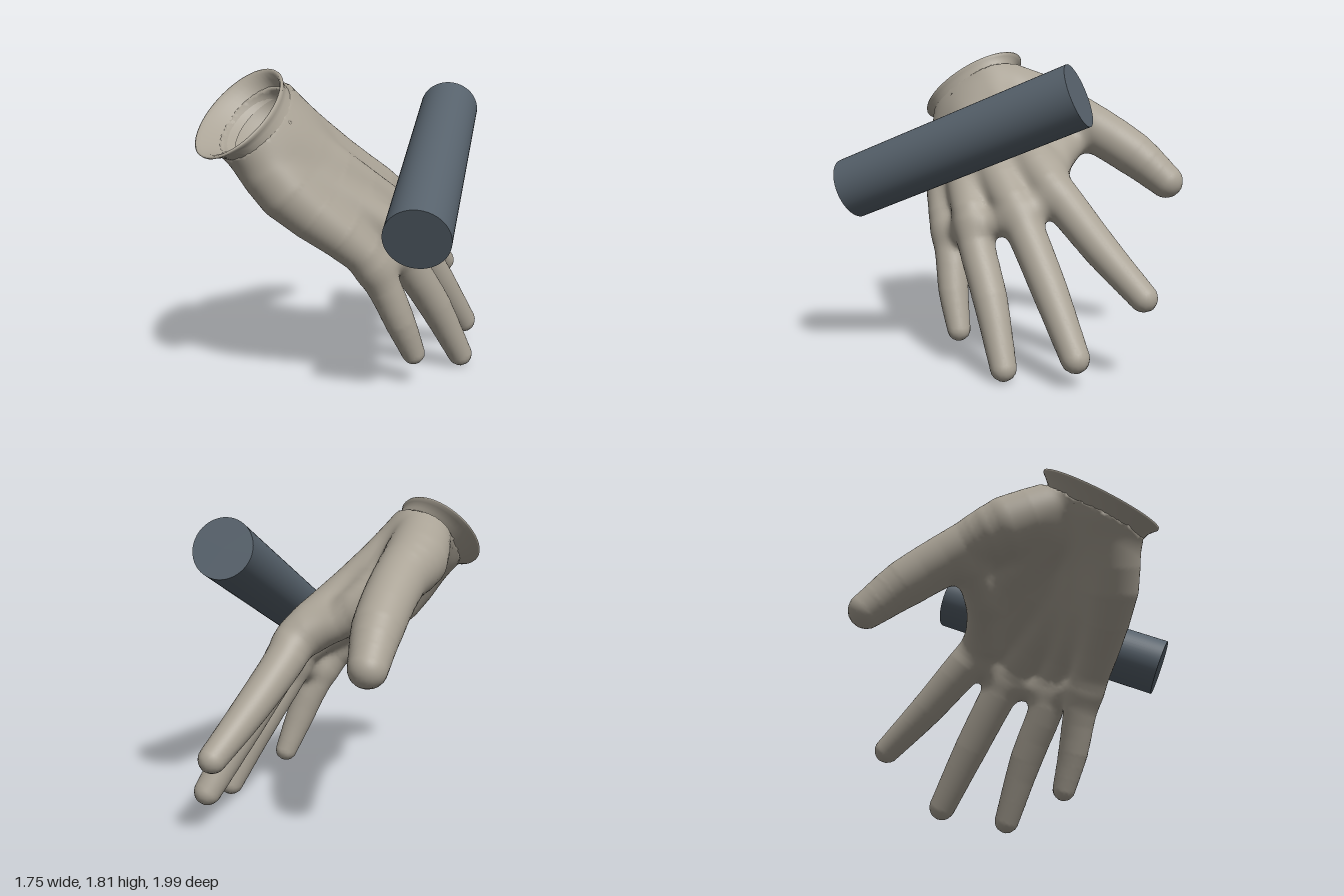
import * as THREE from 'three';

const V = (x, y, z) => new THREE.Vector3(x, y, z);

// Wrist opening: centre, rim centre, the two half axes of the rim ellipse, depth into the hand
const NECK = V(-0.315, 1.545, 0.645);
const RIM = V(-0.365, 1.59, 0.7);
const AXIS_A = V(-0.075, 0.215, -0.29);
const AXIS_B = V(0.255, 0.035, 0);
const DEPTH = V(0.24, -0.3, -0.32);
const toWrist = new THREE.Matrix4().makeBasis(AXIS_A, AXIS_B, DEPTH).setPosition(NECK).invert();

// A chain starts on the long axis of the wrist, then runs through points x, y, z, radius
const fromWrist = (offset, points) => {
  const p = NECK.clone().addScaledVector(AXIS_A, offset);
  return [[p.x, p.y, p.z, 0.168], ...points];
};
const thumb = fromWrist(0.35, [[-0.52, 1.47, 0.2, 0.182], [-0.575, 1.38, -0.03, 0.15],
  [-0.69, 1.18, -0.37, 0.135], [-0.775, 1.015, -0.56, 0.103]]);
const indexFinger = fromWrist(0.35, [[-0.16, 1.28, 0.12, 0.148], [-0.03, 1.03, -0.25, 0.122],
  [-0.045, 0.93, -0.36, 0.115], [-0.04, 0.7, -0.63, 0.1], [-0.035, 0.48, -0.92, 0.078]]);
const middleFinger = fromWrist(0, [[-0.05, 1.24, 0.3, 0.15], [0.13, 0.93, -0.12, 0.12],
  [0.15, 0.78, -0.24, 0.11], [0.2, 0.49, -0.46, 0.1], [0.26, 0.165, -0.695, 0.08]]);
const ringFinger = fromWrist(-0.14, [[-0.02, 1.15, 0.42, 0.145], [0.25, 0.87, 0.1, 0.112],
  [0.29, 0.7, 0.02, 0.105], [0.36, 0.42, -0.16, 0.098], [0.44, 0.075, -0.34, 0.074]]);
const littleFinger = fromWrist(-0.28, [[-0.1, 1.17, 0.625, 0.163], [0.2, 0.82, 0.36, 0.112],
  [0.27, 0.62, 0.25, 0.098], [0.33, 0.4, 0.17, 0.088], [0.37, 0.195, 0.085, 0.068]]);
const fingers = [indexFinger, middleFinger, ringFinger, littleFinger];

// Webs: thumb to index finger, thumb to palm, and across the finger roots
const thumbWeb = [[-0.52, 1.27, -0.04, 0.1], [-0.3, 1.16, -0.09, 0.1], [-0.1, 1.06, -0.2, 0.11]];
const palmFlesh = [[-0.36, 1.47, 0.38, 0.14], [-0.34, 1.32, 0.12, 0.13], [-0.3, 1.2, -0.04, 0.11]];
const fingerWeb = fingers.map(f => [0, 1, 2].map(i => (f[2][i] + f[3][i]) / 2).concat(0.07));

// Round the bends of a chain with a curve
function rounded(chain) {
  const curve = new THREE.CatmullRomCurve3(chain.map(p => V(p[0], p[1], p[2])));
  const last = chain.length - 1, parts = last * 3;
  return Array.from({ length: parts + 1 }, (_, i) => {
    const s = Math.min(Math.floor(i / 3), last - 1);
    const p = curve.getPoint(i / parts);
    return [p.x, p.y, p.z, THREE.MathUtils.lerp(chain[s][3], chain[s + 1][3], i / 3 - s)];
  });
}
const chains = [thumb, ...fingers, thumbWeb, palmFlesh, fingerWeb].map(rounded);

// Distance to one tapered bone chain
function chainDistance(chain, x, y, z) {
  let best = Infinity;
  for (let i = 0; i + 1 < chain.length; i++) {
    const a = chain[i], b = chain[i + 1];
    const dx = b[0] - a[0], dy = b[1] - a[1], dz = b[2] - a[2];
    const px = x - a[0], py = y - a[1], pz = z - a[2];
    const t = Math.min(1, Math.max(0, (px * dx + py * dy + pz * dz) / (dx * dx + dy * dy + dz * dz)));
    const qx = px - t * dx, qy = py - t * dy, qz = pz - t * dz;
    best = Math.min(best, Math.sqrt(qx * qx + qy * qy + qz * qz) - a[3] - t * (b[3] - a[3]));
  }
  return best;
}

function smoothMin(a, b, k) {
  const h = Math.max(k - Math.abs(a - b), 0) / k;
  return Math.min(a, b) - h * h * k * 0.25;
}

const probe = V(0, 0, 0);
function gloveDistance(x, y, z) {
  let skin = 10;
  for (const chain of chains) skin = smoothMin(skin, chainDistance(chain, x, y, z), 0.07);
  // elliptical wrist, hollowed out and open at the neck
  const p = probe.set(x, y, z).applyMatrix4(toWrist);
  const around = Math.hypot(p.x, p.y), deep = Math.max(p.z, 0);
  const wrist = (Math.hypot(around, deep * 0.84) - 0.84) * 0.24;
  const hollow = (Math.hypot(around, deep * 0.85) - 0.72) * 0.24;
  return Math.max(smoothMin(skin, wrist, 0.03), -p.z * 0.45, -hollow);
}

// Turn a distance rule into a smooth mesh: one vertex per grid cell on the surface
function surfaceFrom(dist, min, max, h) {
  const n = [0, 1, 2].map(i => Math.ceil((max[i] - min[i]) / h) + 1);
  const step = [1, n[0], n[0] * n[1]];
  const val = new Float32Array(n[0] * n[1] * n[2]);
  const at = (i, j, k) => i + j * step[1] + k * step[2];
  const each = (start, end, fn) => {
    for (let k = start; k < n[2] - end; k++)
      for (let j = start; j < n[1] - end; j++)
        for (let i = start; i < n[0] - end; i++) fn(i, j, k);
  };
  each(0, 0, (i, j, k) => {
    val[at(i, j, k)] = dist(min[0] + i * h, min[1] + j * h, min[2] + k * h);
  });

  const cell = new Int32Array(val.length).fill(-1), pos = [], normal = [], index = [];
  each(0, 1, (i, j, k) => {
    const sum = [0, 0, 0];
    let count = 0;
    for (let c = 0; c < 8; c++) {
      const o = [c & 1, (c >> 1) & 1, c >> 2];
      const corner = at(i + o[0], j + o[1], k + o[2]), a = val[corner];
      for (let u = 0; u < 3; u++) {
        if (o[u]) continue;
        const b = val[corner + step[u]];
        if ((a < 0) === (b < 0)) continue;
        for (let w = 0; w < 3; w++) sum[w] += o[w] + (w === u ? a / (a - b) : 0);
        count++;
      }
    }
    if (!count) return;
    cell[at(i, j, k)] = pos.length / 3;
    const [x, y, z] = [i, j, k].map((g, w) => min[w] + (g + sum[w] / count) * h);
    pos.push(x, y, z);
    const e = h / 2;
    const slope = V(dist(x + e, y, z) - dist(x - e, y, z), dist(x, y + e, z) - dist(x, y - e, z),
      dist(x, y, z + e) - dist(x, y, z - e)).normalize();
    normal.push(slope.x, slope.y, slope.z);
  });
  each(1, 1, (i, j, k) => {
    const c = at(i, j, k);
    for (let u = 0; u < 3; u++) {
      if ((val[c] < 0) === (val[c + step[u]] < 0)) continue;
      const v = step[(u + 1) % 3], w = step[(u + 2) % 3];
      const q = [c - v - w, c - w, c, c - v].map(m => cell[m]);
      if (val[c] >= 0) q.reverse();
      index.push(q[0], q[1], q[2], q[0], q[2], q[3]);
    }
  });
  const geo = new THREE.BufferGeometry();
  geo.setAttribute('position', new THREE.Float32BufferAttribute(pos, 3));
  geo.setAttribute('normal', new THREE.Float32BufferAttribute(normal, 3));
  geo.setIndex(index);
  return geo;
}

// Flared cuff: ellipses from the neck out to the lip and back inside
function cuffGeometry() {
  const rows = [[-0.8, 0.77], [-0.2, 0.83], [0.35, 0.88], [0.7, 0.95], [0.9, 1], [1.03, 1], [1.05, 0.97],
    [0.9, 0.91], [0.5, 0.84], [0.1, 0.79], [-0.3, 0.74], [-0.9, 0.71]];
  const sides = 48, pos = [], index = [];
  rows.forEach(([t, s], r) => {
    for (let i = 0; i < sides; i++) {
      const a = (i / sides) * Math.PI * 2;
      const p = NECK.clone().lerp(RIM, t)
        .addScaledVector(AXIS_A, s * Math.cos(a)).addScaledVector(AXIS_B, s * Math.sin(a));
      pos.push(p.x, p.y, p.z);
      if (r === 0) continue;
      const j = (i + 1) % sides, lo = (r - 1) * sides, hi = r * sides;
      index.push(lo + i, hi + j, hi + i, lo + i, lo + j, hi + j);
    }
  });
  const geo = new THREE.BufferGeometry();
  geo.setAttribute('position', new THREE.Float32BufferAttribute(pos, 3));
  geo.setIndex(index);
  geo.computeVertexNormals();
  return geo;
}

export function createModel() {
  const group = new THREE.Group();
  const fabric = new THREE.MeshStandardMaterial({ color: 0xaaa396, side: THREE.DoubleSide });
  fabric.name = 'warm grey fabric';
  const steel = new THREE.MeshStandardMaterial({ color: 0x56616b });
  steel.name = 'blue grey';
  const add = (name, geo, mat) => {
    const mesh = new THREE.Mesh(geo, mat);
    mesh.name = name;
    group.add(mesh);
    return mesh;
  };

  // Glove with its open cuff
  add('glove', surfaceFrom(gloveDistance, [-1, -0.06, -1.1], [0.6, 1.86, 1.02], 0.022), fabric);
  add('cuff', cuffGeometry(), fabric);

  // Rod floating above the back of the hand
  const near = V(0.715, 1.01, 0.61), far = V(0.165, 1.55, -0.625);
  const axis = far.clone().sub(near);
  const rod = add('rod', new THREE.CylinderGeometry(0.175, 0.175, axis.length(), 48), steel);
  rod.position.copy(near).add(far).multiplyScalar(0.5);
  rod.quaternion.setFromUnitVectors(V(0, 1, 0), axis.normalize());
  return group;
}
